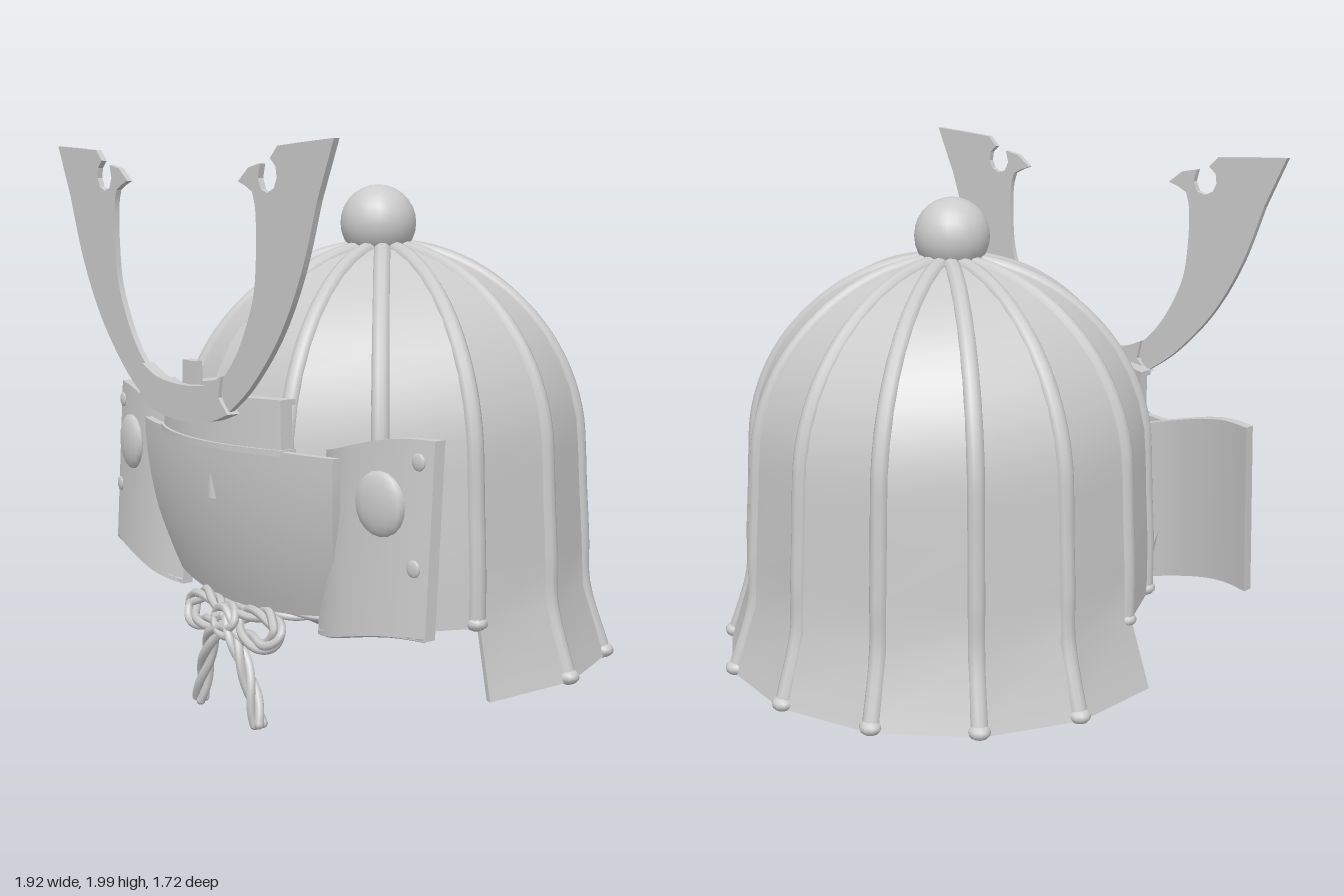
import * as THREE from 'three';
import { toCreasedNormals } from 'three/addons/utils/BufferGeometryUtils.js';

const material = new THREE.MeshStandardMaterial({ color: 0xcccccc });
const V = (x, y, z) => new THREE.Vector3(x, y, z);
const lerp = THREE.MathUtils.lerp;
const SIDES = 14;

export function createModel() {
  const root = new THREE.Group();

  function add(name, geometry, parent = root) {
    const mesh = new THREE.Mesh(geometry, material);
    mesh.name = name;
    parent.add(mesh);
    return mesh;
  }
  function group(name) {
    const g = new THREE.Group();
    g.name = name;
    root.add(g);
    return g;
  }
  // Curved plate: a box whose u, v (0..1) and w (0 back, 1 front) are mapped by a rule
  function plate(nu, nv, rule) {
    const g = new THREE.BoxGeometry(1, 1, 1, nu, nv, 1);
    const p = g.attributes.position;
    for (let i = 0; i < p.count; i++) {
      const q = rule(p.getX(i) + 0.5, p.getY(i) + 0.5, p.getZ(i) + 0.5);
      p.setXYZ(i, q.x, q.y, q.z);
    }
    return toCreasedNormals(g, 0.3);
  }
  // Twisted cord of three strands along a path
  function cord(name, points, parent, radius = 0.016, closed = false) {
    const path = new THREE.CatmullRomCurve3(points, closed);
    const n = Math.max(20, Math.round(path.getLength() * 70));
    const frames = path.computeFrenetFrames(n, closed);
    const turns = Math.max(1, Math.round(path.getLength() * 3.5));
    for (let s = 0; s < 3; s++) {
      const strand = [];
      for (let i = 0; i <= n; i++) {
        const a = (i / n) * turns * Math.PI * 2 + (s * Math.PI * 2) / 3;
        strand.push(path.getPointAt(i / n)
          .addScaledVector(frames.normals[i], Math.cos(a) * radius)
          .addScaledVector(frames.binormals[i], Math.sin(a) * radius));
      }
      const curve = new THREE.CatmullRomCurve3(strand);
      add(name, new THREE.TubeGeometry(curve, n, radius, 6), parent);
      for (const end of [strand[0], strand[n]]) {
        add(name + 'End', new THREE.SphereGeometry(radius, 6, 4), parent).position.copy(end);
      }
    }
  }

  // Bowl profile [radius, y]; the rear flares, the front stops behind the visor
  const dome = [[0.738, 0.8]];
  for (let d = 0; d <= 85; d += 8.5) {
    const t = THREE.MathUtils.degToRad(d);
    dome.push([0.732 * Math.cos(t), 0.93 + 0.72 * Math.sin(t)]);
  }
  const flared = [[0.838, 0.17], [0.757, 0.43], [0.75, 0.6], ...dome];
  const sideRim = [[0.752, 0.4], [0.75, 0.6], ...dome];
  const around = (a, r, y) => V(r * Math.sin(a), y, r * Math.cos(a));

  // Flat bowl panels
  const panels = group('bowlPanels');
  for (let k = 0; k < SIDES; k++) {
    const fromFront = Math.min(k, SIDES - 1 - k);
    const profile = fromFront >= 3 ? flared : fromFront === 2 ? sideRim : dome;
    const a0 = (k / SIDES) * Math.PI * 2, a1 = ((k + 1) / SIDES) * Math.PI * 2;
    add('bowlPanel', plate(1, profile.length - 1, (u, v, w) => {
      const [r, y] = profile[Math.round(v * (profile.length - 1))];
      const inset = 1 - 0.03 * (1 - w);
      return around(u < 0.5 ? a0 : a1, r * inset, y - (1 - w) * 0.025 * Math.max(0, y - 1));
    }), panels);
  }

  // Broad low ribs on the seams, with rounded lower ends
  const ribs = group('ribs');
  for (let k = 0; k < SIDES; k++) {
    const fromFront = Math.min(k, SIDES - k);
    const profile = fromFront >= 4 ? flared : fromFront >= 2 ? sideRim : dome;
    const a = (k / SIDES) * Math.PI * 2;
    const pts = profile.map(([r, y]) => around(a, r - 0.014 * Math.min(1, r / 0.5), y - 0.012 * Math.max(0, y - 0.93) / 0.72));
    add('rib', new THREE.TubeGeometry(new THREE.CatmullRomCurve3(pts), 40, 0.032, 10), ribs);
    if (fromFront >= 2) {
      const cap = add('ribEnd', new THREE.SphereGeometry(0.04, 10, 8), ribs);
      cap.position.copy(pts[0]).y += 0.016;
      cap.scale.y = 0.7;
    }
  }

  // Inner lining and top ball
  add('innerLining', new THREE.SphereGeometry(0.69, 40, 28)).position.set(0, 0.9, 0);
  add('topBall', new THREE.SphereGeometry(0.137, 20, 14)).position.set(0, 1.725, 0.02);

  // Front visor, narrowing and curling in towards the chin
  add('visor', plate(20, 10, (u, v, w) => {
    const half = lerp(0.505, 0.59, Math.sin(v * Math.PI / 2));
    const x = (u * 2 - 1) * half;
    const y = lerp(0.42 + 0.17 * x * x, 1.005, v);
    return V(x, y, 0.755 - 0.1 * (1 - v) ** 2 - 0.27 * x * x - 0.03 * (1 - w));
  }));

  // Curved brow plate with a thin raised border
  const brow = group('browPlate');
  const browStrip = (name, half, y0, y1, front, depth) => add(name, plate(16, 1, (u, v, w) => {
    const x = (u * 2 - 1) * half;
    return V(x, lerp(y0, y1, v), front - 0.6 * x * x - depth * (1 - w));
  }), brow);
  browStrip('browBand', 0.37, 1.0, 1.16, 0.79, 0.045);
  browStrip('browTopEdge', 0.38, 1.155, 1.175, 0.802, 0.06);
  browStrip('browBottomEdge', 0.38, 0.99, 1.01, 0.802, 0.06);

  // Side wings with a flat domed boss and two rivets each
  const wingZ = (x, y) => {
    const d = Math.abs(x);
    return 0.61 - (d < 0.62 ? 1.3 : 0.55) * (d - 0.62) ** 2 + 0.04 * (1.1 - y) / 0.65;
  };
  for (const s of [-1, 1]) {
    const wing = group(s > 0 ? 'leftWing' : 'rightWing');
    add('wingPlate', plate(14, 6, (u, v, w) => {
      const d = lerp(0.43, 0.96, s > 0 ? u : 1 - u);
      const out = THREE.MathUtils.smoothstep(d, 0.34, 0.9);
      const y = lerp(lerp(0.385, 0.478, out), lerp(1.0, 1.098, out), v);
      return V(s * d, y, wingZ(d, y) - 0.04 * (1 - w));
    }), wing);
    // Rolled lower lip
    const lip = [];
    for (let i = 0; i <= 10; i++) {
      const d = lerp(0.44, 0.95, i / 10);
      const y = lerp(0.395, 0.488, THREE.MathUtils.smoothstep(d, 0.34, 0.9));
      lip.push(V(s * d, y, wingZ(d, y) - 0.015));
    }
    add('wingLip', new THREE.TubeGeometry(new THREE.CatmullRomCurve3(lip), 20, 0.016, 6), wing);
    for (const [x, y, r] of [[0.775, 0.885, 0.105], [0.912, 1.03, 0.028], [0.912, 0.7, 0.028]]) {
      const boss = add(r > 0.05 ? 'boss' : 'rivet', new THREE.SphereGeometry(r, 12, 10), wing);
      boss.position.set(s * x, y, wingZ(x, y) + 0.005);
      boss.scale.z = 0.3;
      boss.rotation.y = s * 0.17;
    }
  }

  // Crest: two flat horns with a round notch, on a crescent base
  const crest = group('crest');
  const extrude = (shape, depth, z) => new THREE.ExtrudeGeometry(shape,
    { depth, bevelEnabled: false, curveSegments: 8 }).translate(0, 0, z);
  const vec2 = (list, s) => list.map(([x, y]) => new THREE.Vector2(s * x, y));
  const hornTop = [[0.86, 2.0], [0.72, 1.992], [0.57, 1.982], [0.53, 1.945]];
  const notch = [[0.56, 1.92], [0.565, 1.885], [0.55, 1.855], [0.515, 1.84],
    [0.48, 1.85], [0.463, 1.885], [0.475, 1.93]];
  const barb = [[0.41, 1.918], [0.35, 1.875], [0.39, 1.862], [0.43, 1.843]];
  const innerEdge = [[0.447, 1.78], [0.448, 1.655], [0.43, 1.52], [0.37, 1.39], [0.305, 1.3], [0.22, 1.22]];
  const outerEdge = [[0.27, 1.13], [0.41, 1.23], [0.57, 1.4], [0.69, 1.6], [0.775, 1.82]];
  for (const s of [-1, 1]) {
    const shape = new THREE.Shape(vec2([...hornTop, ...notch, ...barb], s));
    shape.splineThru(vec2(innerEdge, s));
    shape.lineTo(s * outerEdge[0][0], outerEdge[0][1]);
    shape.splineThru(vec2(outerEdge.slice(1), s));
    shape.closePath();
    add(s > 0 ? 'leftHorn' : 'rightHorn', extrude(shape, 0.02, 0.828), crest);
  }
  const base = new THREE.Shape();
  base.moveTo(-0.29, 1.13);
  base.lineTo(-0.235, 1.18);
  base.lineTo(-0.25, 1.25);
  base.splineThru(vec2([[-0.15, 1.212], [0, 1.2], [0.15, 1.212], [0.25, 1.25]], 1));
  base.lineTo(0.235, 1.18);
  base.lineTo(0.29, 1.13);
  base.splineThru(vec2([[0.17, 1.093], [0, 1.077], [-0.17, 1.093], [-0.29, 1.13]], 1));
  add('crestBase', extrude(base, 0.045, 0.815), crest);

  // Crest holder: post behind the base, and a bracket back to the bowl
  const holder = group('crestHolder');
  const box = (name, w, h, d, y, z) =>
    add(name, new THREE.BoxGeometry(w, h, d), holder).position.set(0, y, z);
  box('post', 0.07, 0.13, 0.035, 1.215, 0.812);
  box('bracket', 0.07, 0.05, 0.14, 1.185, 0.735);
  add('holderStrip', plate(1, 6, (u, v, w) => {
    const y = lerp(1.17, 1.39, v);
    const r = 0.732 * Math.sqrt(1 - ((y - 0.93) / 0.72) ** 2);
    return V((u - 0.5) * 0.07, y, r + lerp(-0.03, 0.022, w));
  }), holder);

  // Chin cord inside the rim, with a bow in front
  const bow = group('chinCord');
  const rimHalf = [[0.2, 0.415, 0.62], [0.39, 0.43, 0.49], [0.54, 0.44, 0.33], [0.62, 0.45, 0.12]];
  cord('rimCord', [...rimHalf.map(([x, y, z]) => V(-x, y, z)).reverse(), V(0, 0.39, 0.65),
    ...rimHalf.map((p) => V(...p))], bow, 0.012);
  for (const s of [-1, 1]) {
    cord('bowLoop', [V(0, 0.355, 0.67), V(s * 0.12, 0.325, 0.69), V(s * 0.24, 0.32, 0.68),
      V(s * 0.275, 0.365, 0.66), V(s * 0.2, 0.41, 0.65), V(s * 0.09, 0.395, 0.66), V(0, 0.365, 0.67)], bow);
    cord('bowTail', [V(0, 0.36, 0.69), V(s * 0.07, 0.3, 0.7), V(s * 0.14, 0.17, 0.69),
      V(s * 0.188, 0.03, 0.685)], bow, 0.017);
  }
  cord('knot', [V(-0.06, 0.36, 0.69), V(0, 0.32, 0.7), V(0.06, 0.36, 0.69), V(0, 0.4, 0.68)], bow, 0.016, true);

  return root;
}
